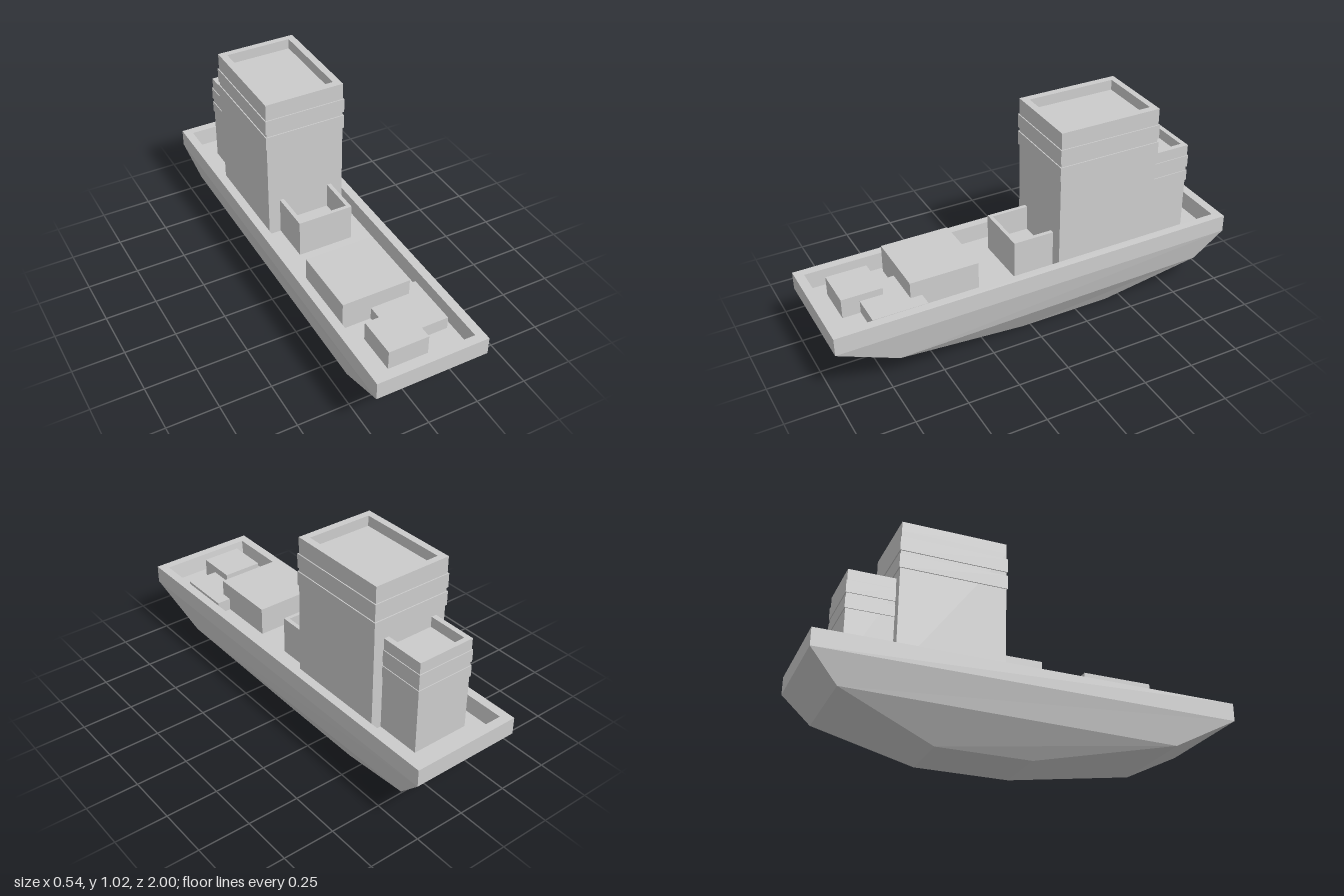
import * as THREE from 'three';

const mat = new THREE.MeshStandardMaterial({ color: 0xcccccc, flatShading: true });

// Box given by its limits on each axis
function box(parent, name, x0, x1, y0, y1, z0, z1) {
  const m = new THREE.Mesh(new THREE.BoxGeometry(x1 - x0, y1 - y0, z1 - z0), mat);
  m.position.set((x0 + x1) / 2, (y0 + y1) / 2, (z0 + z1) / 2);
  m.name = name;
  parent.add(m);
}

// Block with a sunken top inside a parapet; wall thickness 0 leaves that side open
function parapetBlock(name, x0, x1, y0, y1, z0, z1, depth, side, back, front) {
  const g = new THREE.Group();
  g.name = name;
  const f = y1 - depth;
  box(g, 'body', x0, x1, y0, f, z0, z1);
  box(g, 'rightParapet', x0, x0 + side, f, y1, z0, z1);
  box(g, 'leftParapet', x1 - side, x1, f, y1, z0, z1);
  if (back) box(g, 'backParapet', x0 + side, x1 - side, f, y1, z0, z0 + back);
  if (front) box(g, 'frontParapet', x0 + side, x1 - side, f, y1, z1 - front, z1);
  return g;
}

// Hull lofted through rectangular rings, up the outside, over the rim and down to the deck
function hull() {
  // half width, front z, front y, back z, back y
  const rings = [
    [0.14, 0.03, 0.005, -0.42, 0.005],
    [0.235, 0.70, 0.14, -0.87, 0.165],
    [0.27, 1.0, 0.295, -1.0, 0.305],
    [0.27, 1.0, 0.382, -1.0, 0.389],
    [0.228, 0.957, 0.382, -0.957, 0.389],
    [0.225, 0.945, 0.30, -0.95, 0.305],
  ].map(([w, zf, yf, zb, yb]) => [[w, yf, zf], [w, yb, zb], [-w, yb, zb], [-w, yf, zf]]);
  const pos = [];
  const quad = (a, b, c, d) => pos.push(...a, ...b, ...c, ...a, ...c, ...d);
  for (let i = 0; i < rings.length - 1; i++) {
    for (let k = 0; k < 4; k++) {
      const n = (k + 1) % 4;
      quad(rings[i][k], rings[i][n], rings[i + 1][n], rings[i + 1][k]);
    }
  }
  quad(...rings[rings.length - 1]);
  quad(...[...rings[0]].reverse());
  const geo = new THREE.BufferGeometry();
  geo.setAttribute('position', new THREE.Float32BufferAttribute(pos, 3));
  geo.computeVertexNormals();
  const m = new THREE.Mesh(geo, mat);
  m.name = 'hull';
  return m;
}

export function createModel() {
  const ship = new THREE.Group();
  ship.name = 'ship';
  ship.add(hull());

  // Main tower, its low forward annex and the aft tower
  const tower = parapetBlock('mainTower', -0.195, 0.192, 0.29, 1.025, -0.622, -0.12, 0.05, 0.034, 0.03, 0.034);
  for (const [y0, y1] of [[0.79, 0.858], [0.877, 0.945]])
    box(tower, 'towerBand', -0.2, 0.197, y0, y1, -0.627, -0.115);
  ship.add(tower);

  ship.add(parapetBlock('forwardAnnex', -0.137, 0.133, 0.29, 0.487, -0.13, 0.08, 0.125, 0.02, 0, 0.018));

  const aft = parapetBlock('aftTower', -0.145, 0.14, 0.29, 0.76, -0.84, -0.615, 0.05, 0.025, 0.024, 0);
  for (const [y0, y1] of [[0.57, 0.625], [0.645, 0.705]])
    box(aft, 'aftBand', -0.149, 0.144, y0, y1, -0.844, -0.615);
  ship.add(aft);

  // Deck boxes toward the bow
  box(ship, 'largeDeckBox', -0.2, 0.132, 0.29, 0.44, 0.262, 0.595);
  box(ship, 'lowDeckBox', -0.06, 0.2, 0.29, 0.362, 0.54, 0.80);
  box(ship, 'smallDeckBox', -0.147, 0.048, 0.29, 0.396, 0.69, 0.885);

  // Rest the keel on the ground
  for (const part of ship.children) part.position.y -= 0.005;
  return ship;
}
